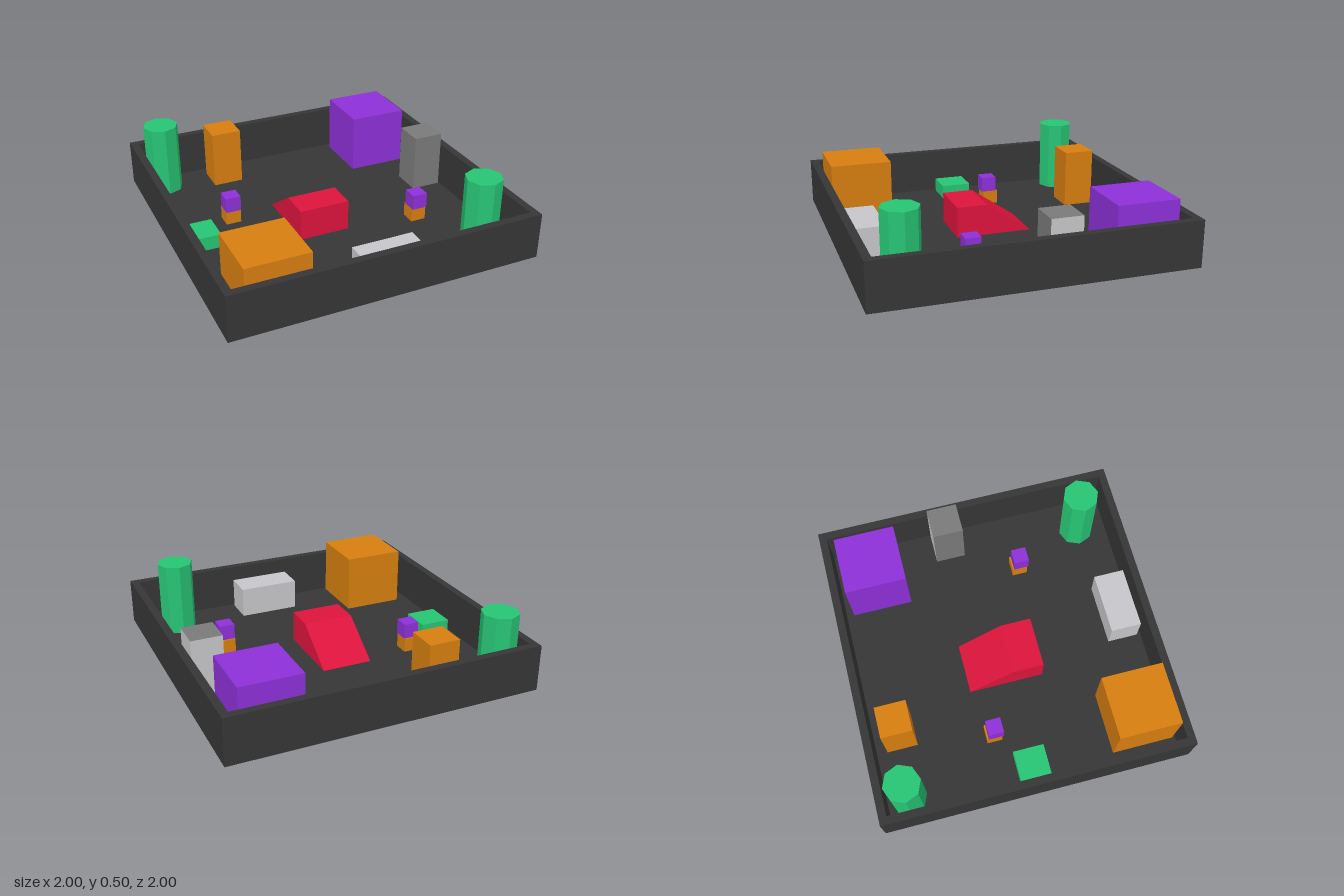
import * as THREE from 'three';

const mat = (name, color) => {
  const m = new THREE.MeshStandardMaterial({ color });
  m.name = name;
  return m;
};

export function createModel() {
  const model = new THREE.Group();
  model.name = 'trayWithBlocks';

  const charcoal = mat('charcoal', 0x363636);
  const green = mat('green', 0x27c474);
  const orange = mat('orange', 0xd67e10);
  const purple = mat('purple', 0x8d30d7);
  const red = mat('crimson', 0xdc143c);
  const grey = mat('grey', 0x7a7a7a);
  const light = mat('lightGrey', 0xc6c6ca);

  const add = (name, geometry, material, x = 0, y = 0, z = 0, parent = model) => {
    const mesh = new THREE.Mesh(geometry, material);
    mesh.name = name;
    mesh.position.set(x, y, z);
    parent.add(mesh);
    return mesh;
  };
  // Block given by its extents on each axis
  const block = (name, material, [x0, x1], [y0, y1], [z0, z1], parent = model) =>
    add(name, new THREE.BoxGeometry(x1 - x0, y1 - y0, z1 - z0), material,
      (x0 + x1) / 2, (y0 + y1) / 2, (z0 + z1) / 2, parent);
  // Eight-sided pillar
  const pillar = (name, x, z, r, y0, y1) => {
    const g = new THREE.CylinderGeometry(r, r, y1 - y0, 8).toNonIndexed();
    g.computeVertexNormals();
    return add(name, g, green, x, (y0 + y1) / 2, z);
  };

  // Tray: thin floor and a square rim
  const tray = new THREE.Group();
  tray.name = 'tray';
  model.add(tray);
  block('trayFloor', charcoal, [-0.96, 0.96], [0.01, 0.018], [-0.96, 0.96], tray);
  const rim = new THREE.Shape([[-1, -1], [1, -1], [1, 1], [-1, 1]].map(p => new THREE.Vector2(...p)));
  rim.holes.push(new THREE.Path([[-0.95, -0.95], [-0.95, 0.95], [0.95, 0.95], [0.95, -0.95]]
    .map(p => new THREE.Vector2(...p))));
  const rimGeometry = new THREE.ExtrudeGeometry(rim, { depth: 0.3, bevelEnabled: false });
  rimGeometry.rotateX(-Math.PI / 2);
  add('trayWalls', rimGeometry, charcoal, 0, 0.01, 0, tray);

  // Pillars
  pillar('backPillar', -0.82, -0.81, 0.117, 0.012, 0.49);
  pillar('frontPillar', 0.74, 0.745, 0.117, 0, 0.5);

  // Loose blocks
  block('tallOrangeBlock', orange, [-0.5, -0.3], [0, 0.4], [-0.88, -0.68]);
  block('wideOrangeBlock', orange, [-0.87, -0.47], [0.012, 0.4], [0.53, 0.93]);
  block('purpleBlock', purple, [0.49, 0.88], [0.012, 0.41], [-0.9, -0.5]);
  block('lowGreenBlock', green, [-0.92, -0.72], [0, 0.11], [-0.1, 0.1]);
  block('lightBlock', light, [-0.13, 0.27], [0.012, 0.22], [0.725, 0.925]);
  // Two-tone block: light on its left and back faces
  block('greyBlock', [light, grey, grey, grey, grey, light],
    [0.74, 0.94], [0.012, 0.4], [-0.26, -0.06]);

  // Ramp: flat at the front, sloping down to the back
  const profile = new THREE.Shape([[-0.23, 0], [0.29, 0], [-0.03, 0.22], [-0.23, 0.22]]
    .map(p => new THREE.Vector2(...p)));
  const rampGeometry = new THREE.ExtrudeGeometry(profile, { depth: 0.33, bevelEnabled: false });
  rampGeometry.rotateY(Math.PI / 2);
  add('ramp', rampGeometry, red, -0.24, 0, 0);

  // Two small stacked figures
  [['leftFigure', 0.555, 0.285], ['rightFigure', -0.555, -0.18]].forEach(([name, x, z]) => {
    const figure = new THREE.Group();
    figure.name = name;
    figure.position.set(x, 0, z);
    model.add(figure);
    block('figureBase', orange, [-0.05, 0.05], [0.012, 0.11], [-0.06, 0.04], figure);
    block('figureTop', purple, [-0.05, 0.05], [0.11, 0.21], [-0.05, 0.05], figure);
  });

  return model;
}
